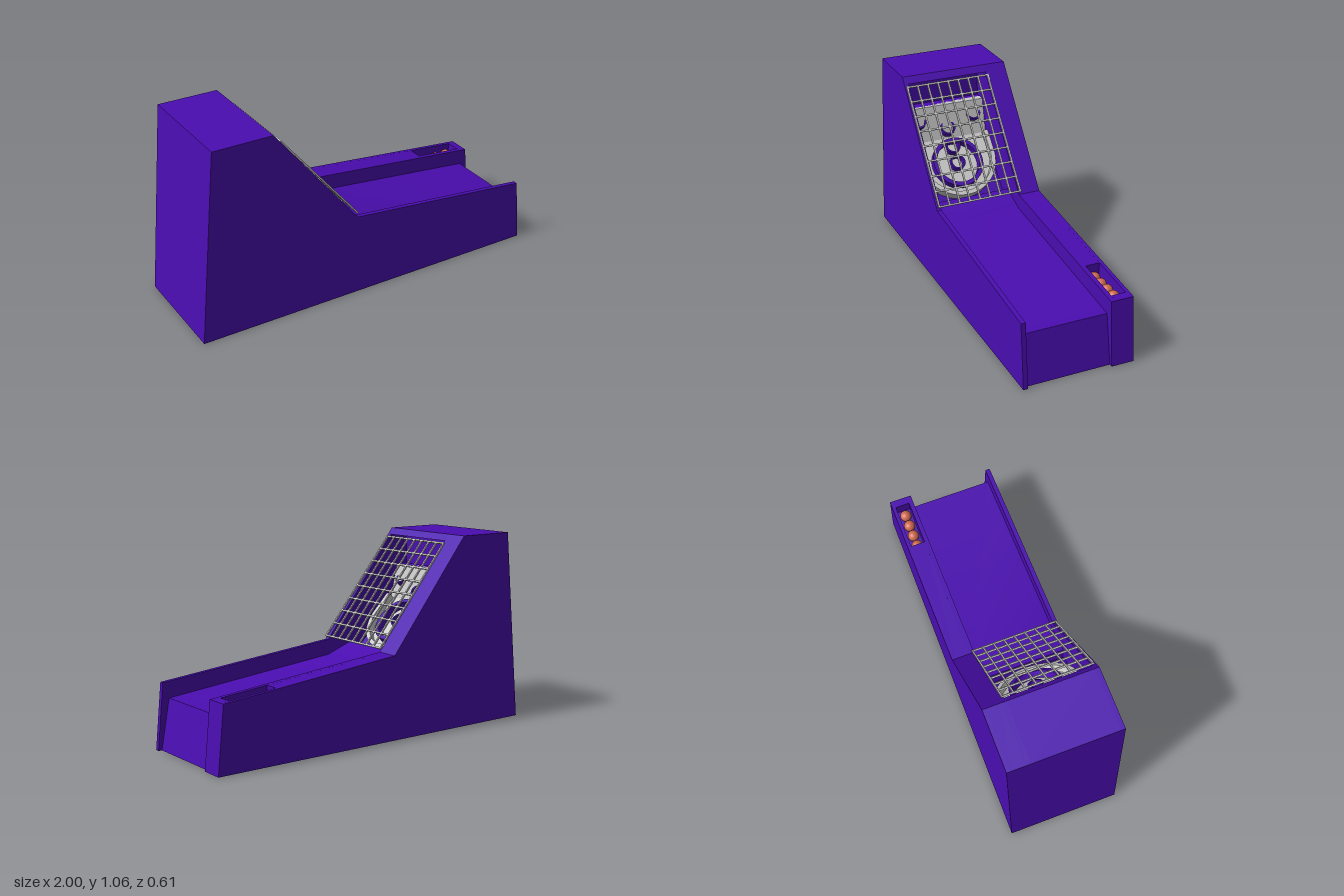
import * as THREE from 'three';
import { toCreasedNormals } from 'three/addons/utils/BufferGeometryUtils.js';

const purple = new THREE.MeshStandardMaterial({ color: 0x4a0db0 });
const grey = new THREE.MeshStandardMaterial({ color: 0xcccccc });
const orange = new THREE.MeshStandardMaterial({ color: 0xd0694f });

const toShape = (pts) => new THREE.Shape(pts.map(([x, y]) => new THREE.Vector2(x, y)));

function add(parent, name, geometry, material, x = 0, y = 0, z = 0) {
  const mesh = new THREE.Mesh(geometry, material);
  mesh.name = name;
  mesh.position.set(x, y, z);
  parent.add(mesh);
  return mesh;
}

function extrude(shape, depth) {
  const g = new THREE.ExtrudeGeometry(shape, { depth, bevelEnabled: false, curveSegments: 24 });
  return toCreasedNormals(g, 0.6);
}

// Side profile slab between two z positions
const slab = (parent, name, pts, z0, z1, material = purple) =>
  add(parent, name, extrude(toShape(pts), z1 - z0), material, 0, 0, z0);

// Open tube standing along local z
function tube(outer, inner, height) {
  const s = new THREE.Shape().absarc(0, 0, outer, 0, Math.PI * 2);
  s.holes.push(new THREE.Path().absarc(0, 0, inner, 0, Math.PI * 2, true));
  return extrude(s, height);
}

// U outline, round at the bottom
function uOutline(r, top, cy) {
  const s = new THREE.Shape();
  s.moveTo(-r, top);
  s.lineTo(-r, cy);
  s.absarc(0, cy, r, Math.PI, Math.PI * 2);
  s.lineTo(r, top);
  return s;
}

export function createModel() {
  const model = new THREE.Group();
  model.name = 'rollingBallGame';

  // Side walls; the thick one holds the ball tray
  const back = [[-0.57, 1.06], [-0.9, 1.06], [-1, 0], [1, 0], [0.965, 0.355]];
  const wall = [...back, [-0.09, 0.46]];
  const trayWall = [...back, [0.92, 0.36], [0.92, 0.285], [0.65, 0.285], [0.65, 0.386], [-0.09, 0.46]];
  slab(model, 'leftWall', wall, 0.28, 0.305);
  slab(model, 'rightWallOuter', wall, -0.305, -0.285);
  slab(model, 'rightWallTray', trayWall, -0.285, -0.205);
  slab(model, 'rightWallInner', wall, -0.205, -0.18);

  // Ramp, jump lip, pocket, backboard and canopy
  slab(model, 'laneAndCabinet', [
    [-1, 0], [0.98, 0], [0.93, 0.27], [-0.09, 0.375], [-0.24, 0.43], [-0.25, 0.335],
    [-0.565, 0.65], [-0.61, 0.85], [-0.66, 0.85], [-0.66, 1.025], [-0.542, 1.025],
    [-0.57, 1.06], [-0.9, 1.06],
  ], -0.18, 0.28);

  // Balls in the tray
  for (let i = 0; i < 4; i++) {
    add(model, 'ball', new THREE.SphereGeometry(0.032, 24, 16), orange, 0.672 + i * 0.066, 0.317, -0.245);
  }

  // Steep upper target panel
  slab(model, 'upperTargetPanel',
    [[-0.575, 0.64], [-0.545, 0.66], [-0.59, 0.85], [-0.63, 0.85]], -0.18, 0.28, grey);

  // Tilted target board: local y runs up the slope, local z points out of it
  const board = new THREE.Group();
  board.name = 'targetBoard';
  const a = Math.SQRT1_2;
  const basis = new THREE.Matrix4().makeBasis(
    new THREE.Vector3(0, 0, -1), new THREE.Vector3(-a, a, 0), new THREE.Vector3(a, a, 0));
  board.quaternion.setFromRotationMatrix(basis);
  board.position.set(-0.43, 0.545, 0.05);
  model.add(board);
  add(board, 'boardPlate', extrude(uOutline(0.229, 0.163, 0.03), 0.02), grey, 0, 0, -0.02);

  // Raised fence around the board
  const fence = uOutline(0.229, 0.16, 0.03);
  fence.lineTo(0.205, 0.16);
  fence.lineTo(0.205, 0.03);
  fence.absarc(0, 0.03, 0.205, Math.PI * 2, Math.PI, true);
  fence.lineTo(-0.205, 0.16);
  add(board, 'boardFence', extrude(fence, 0.04), grey);

  // Scoring rings
  add(board, 'largeRing', tube(0.145, 0.122, 0.045), purple);
  const ring = tube(0.043, 0.034, 0.04);
  const spots = [[0, 0, 0], [0, 0.1, 0], [0, 0.212, 0.007], [-0.165, 0.269, 0.028], [0.165, 0.269, 0.028]];
  for (const [x, y, z] of spots) add(board, 'smallRing', ring, purple, x, y, z);

  // Wire cage over the target
  const cage = new THREE.Group();
  cage.name = 'cage';
  const dx = 0.44, dy = 0.53, length = Math.hypot(dx, dy), width = 0.48;
  cage.position.set(-0.308, 0.747, 0.053);
  cage.rotation.z = Math.atan2(dx, dy);
  model.add(cage);
  for (let i = 0; i <= 8; i++) {
    const t = i / 8 - 0.5;
    add(cage, 'uprightWire', new THREE.BoxGeometry(0.009, length + 0.009, 0.009), grey, 0, 0, t * width);
    add(cage, 'crossWire', new THREE.BoxGeometry(0.009, 0.009, width + 0.009), grey, 0, t * length, 0);
  }
  return model;
}
